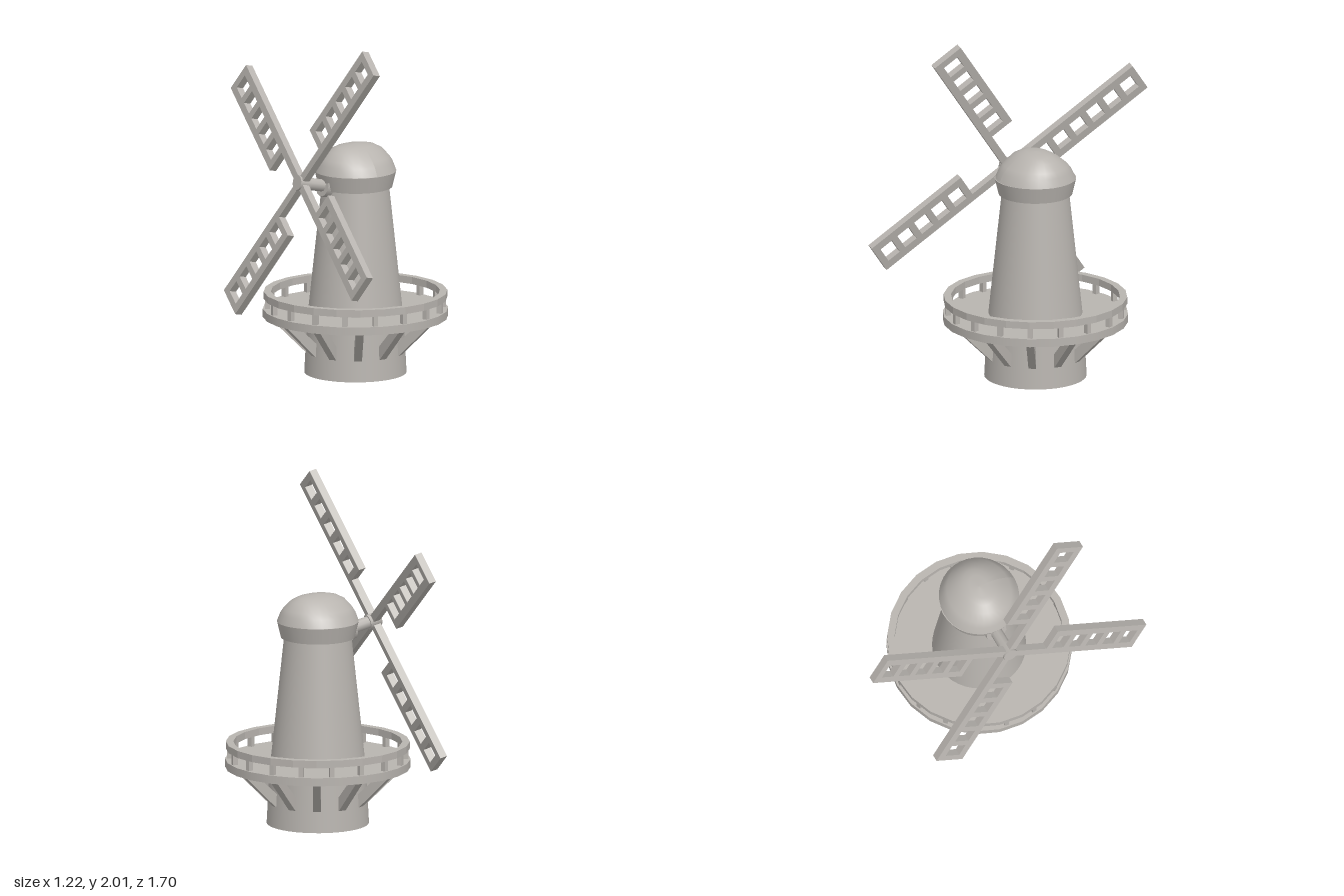
import * as THREE from 'three';

const stone = new THREE.MeshStandardMaterial({ color: 0xb8b4af });
stone.name = 'stone grey';

function add(parent, name, geometry, x = 0, y = 0, z = 0) {
  const mesh = new THREE.Mesh(geometry, stone);
  mesh.name = name;
  mesh.position.set(x, y, z);
  parent.add(mesh);
  return mesh;
}

// Tapered round section between two heights
function drum(parent, name, rTop, rBottom, y0, y1, sides) {
  return add(parent, name, new THREE.CylinderGeometry(rTop, rBottom, y1 - y0, sides), 0, (y0 + y1) / 2, 0);
}

function polygon(points) {
  return new THREE.Shape(points.map(([x, y]) => new THREE.Vector2(x, y)));
}

function extrude(shape, depth) {
  return new THREE.ExtrudeGeometry(shape, { depth, bevelEnabled: false, curveSegments: 12 });
}

function makeTower() {
  const tower = new THREE.Group();
  tower.name = 'tower';
  drum(tower, 'base', 0.28, 0.298, 0, 0.34, 40);
  drum(tower, 'body', 0.195, 0.276, 0.36, 1.12, 40);
  drum(tower, 'capBand', 0.238, 0.215, 1.105, 1.2, 32);

  // Domed cap, narrowing to a short ridge along the shaft direction
  const profile = [[0.24, 1.2], [0.222, 1.25], [0.205, 1.28], [0.165, 1.325], [0.12, 1.348], [0.075, 1.358], [0, 1.362]];
  const dome = new THREE.LatheGeometry(profile.map(([r, y]) => new THREE.Vector2(r, y)), 32);
  const p = dome.attributes.position;
  for (let i = 0; i < p.count; i++) {
    const t = (p.getY(i) - 1.2) / 0.162;
    p.setZ(i, p.getZ(i) * (0.97 - 0.3 * t * t));
  }
  dome.computeVertexNormals();
  add(tower, 'capDome', dome);

  // Gallery floor and handrail
  drum(tower, 'galleryFloor', 0.54, 0.54, 0.332, 0.38, 24);
  const ring = new THREE.Shape().absarc(0, 0, 0.535, 0, Math.PI * 2);
  ring.holes.push(new THREE.Path().absarc(0, 0, 0.492, 0, Math.PI * 2, true));
  const rail = extrude(ring, 0.042);
  rail.rotateX(-Math.PI / 2);
  add(tower, 'handrail', rail, 0, 0.44, 0);

  // Railing posts
  for (let i = 0; i < 18; i++) {
    const a = (i / 18) * Math.PI * 2;
    const post = add(tower, 'railPost', new THREE.BoxGeometry(0.028, 0.08, 0.03),
      Math.sin(a) * 0.512, 0.41, Math.cos(a) * 0.512);
    post.rotation.y = a;
  }

  // Slanted gallery struts
  const strut = extrude(polygon([[0.26, 0.125], [0.292, 0.125], [0.505, 0.335], [0.43, 0.335], [0.26, 0.18]]), 0.045);
  strut.translate(0, 0, -0.0225);
  for (let i = 0; i < 12; i++) {
    add(tower, 'galleryStrut', strut).rotation.y = (i / 12) * Math.PI * 2;
  }
  tower.rotation.y = 0.274;
  tower.position.set(0.063, 0, -0.095);
  return tower;
}

function makeRotor() {
  const rotor = new THREE.Group();
  rotor.name = 'rotor';
  const thick = 0.045, inner = 0.265, tip = 0.93, left = -0.172, right = 0.022;

  // Lattice sail with five openings
  const shape = polygon([[left, inner], [right, inner], [right, tip], [left, tip]]);
  for (let i = 0; i < 5; i++) {
    const y = inner + 0.04 + i * 0.125, l = left + 0.046, r = right - 0.046;
    const hole = new THREE.Path();
    hole.moveTo(l, y).lineTo(l, y + 0.085).lineTo(r, y + 0.085).lineTo(r, y).closePath();
    shape.holes.push(hole);
  }
  const sailGeometry = extrude(shape, thick);
  sailGeometry.translate(0, 0, -thick / 2);
  const sparGeometry = new THREE.BoxGeometry(0.044, inner, thick);
  for (let i = 0; i < 4; i++) {
    const sail = new THREE.Group();
    sail.name = 'sail';
    add(sail, 'sailLattice', sailGeometry);
    add(sail, 'sailSpar', sparGeometry, 0, inner / 2, 0);
    sail.rotation.z = (i * Math.PI) / 2;
    rotor.add(sail);
  }

  // Hub, shaft and bearing along the rotor axis
  for (const [name, r, z0, z1] of [['hub', 0.045, -0.04, 0.035], ['shaft', 0.036, -0.3, 0], ['bearing', 0.066, -0.27, -0.145]]) {
    const g = new THREE.CylinderGeometry(r, r, z1 - z0, 10);
    g.rotateX(Math.PI / 2);
    add(rotor, name, g, 0, 0, (z0 + z1) / 2);
  }

  // Tilted axis, with the first sail leaning upward
  const axis = new THREE.Vector3(-0.942, 0.207, 0.265).normalize();
  const side = new THREE.Vector3(0.32, 0.793, 0.519).cross(axis).normalize();
  const up = axis.clone().cross(side);
  rotor.quaternion.setFromRotationMatrix(new THREE.Matrix4().makeBasis(side, up, axis));
  rotor.position.set(-0.293, 1.165, 0);
  return rotor;
}

export function createModel() {
  const model = new THREE.Group();
  model.name = 'windmill';
  model.add(makeTower(), makeRotor());
  return model;
}
